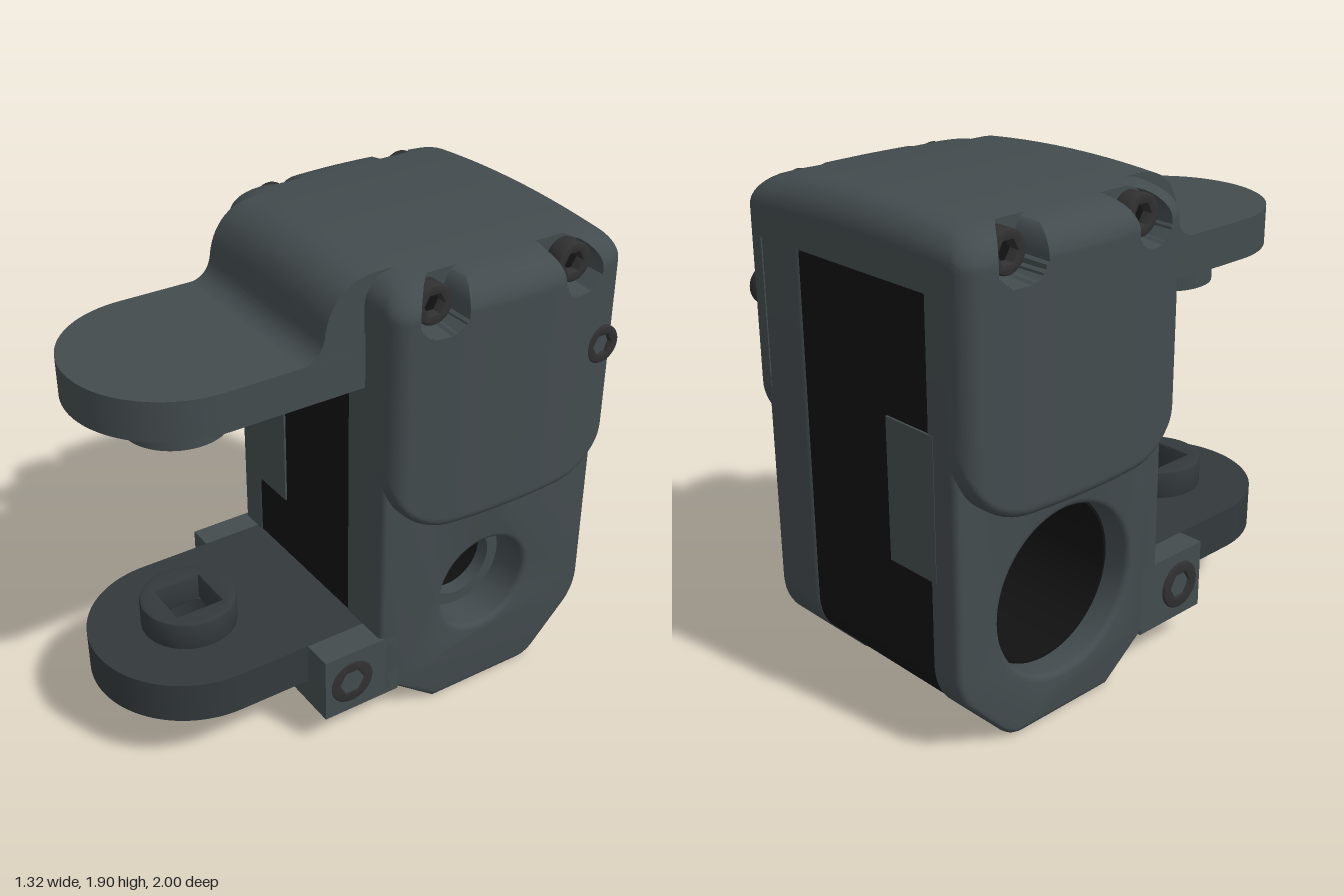
import * as THREE from 'three';
import { toCreasedNormals } from 'three/addons/utils/BufferGeometryUtils.js';

const slate = new THREE.MeshStandardMaterial({ color: 0x434b4e });
const dark = new THREE.MeshStandardMaterial({ color: 0x33393c });
const black = new THREE.MeshStandardMaterial({ color: 0x121212 });
const steel = new THREE.MeshStandardMaterial({ color: 0x303030 });

const C = -0.067;              // middle of the body across its width
const VC = -0.41;              // middle of the body front to back
const ARM = [-0.075, 0.628];   // centre of the rounded arm ends
const ARM_R = 0.395;
const BORE = [-0.4, 0.485];    // cross bore, as depth and height
const TOP = 1.905;

// Drop of a quarter round of radius r at distance d from its edge
const round = (d, r) => (d >= r ? 0 : r - Math.sqrt(Math.max(0, r * r - (r - d) ** 2)));
const crown = (u) => 0.045 * ((u - C) / 0.62) ** 2;

function circle(x, y, r) {
  return new THREE.Path().absarc(x, y, r, 0, Math.PI * 2, true);
}

// Extrude a (depth, height) outline across the width
function across(shape, u0, u1, bevel = 0, steps = 1) {
  const g = new THREE.ExtrudeGeometry(shape, {
    depth: u1 - u0 - 2 * bevel, steps, curveSegments: 32, bevelEnabled: bevel > 0,
    bevelSize: bevel, bevelThickness: bevel, bevelOffset: -bevel, bevelSegments: 4,
  });
  return g.rotateY(-Math.PI / 2).translate(u1 - bevel, 0, 0);
}

// Extrude a plan outline (width, depth) upward
function upward(shape, y0, y1, bevel = 0) {
  const g = new THREE.ExtrudeGeometry(shape, {
    depth: y1 - y0 - 2 * bevel, curveSegments: 32, bevelEnabled: bevel > 0,
    bevelSize: bevel, bevelThickness: bevel, bevelOffset: -bevel, bevelSegments: 2,
  });
  return g.rotateX(Math.PI / 2).translate(0, y1 - bevel, 0);
}

// Side outline of the body, chamfered below, with an optional bore
function bodyOutline(inset, boreRadius) {
  const f = 0.085 - inset, b = -0.905 + inset, y = inset;
  const s = new THREE.Shape();
  s.moveTo(f, 1.72);
  s.lineTo(b, 1.72);
  s.lineTo(b, 0.35);
  s.quadraticCurveTo(b, 0.26, b + 0.05, 0.2);
  s.lineTo(-0.7, 0.04 + y);
  s.quadraticCurveTo(-0.66, y, -0.61, y);
  s.lineTo(-0.18, y);
  s.lineTo(0, 0.135 + y);
  s.lineTo(f, 0.135 + y);
  s.closePath();
  s.holes.push(circle(...BORE, boreRadius));
  return s;
}

// Plan outline of an arm with a round end
function armOutline(back) {
  const [u, v] = ARM;
  const s = new THREE.Shape();
  s.moveTo(u - ARM_R, back);
  s.lineTo(u + ARM_R, back);
  s.absarc(u, v, ARM_R, 0, Math.PI, false);
  s.closePath();
  return s;
}

const POCKETS = [-0.09, -0.7];
const POCKET_Y = 1.79;

// Half width of the bulging cover, with screw pockets and rounded edges
function coverWidth(v, y) {
  const t = (v - VC) / 0.5;
  let w = 0.57 + 0.055 * (1 - t * t) - round(0.5 - Math.abs(v - VC), 0.06) - round(TOP - y, 0.12);
  for (const p of POCKETS) {
    const dy = Math.min(0, y - POCKET_Y);
    if (Math.hypot(v - p, dy) < 0.088) w = Math.min(w, 0.47);
  }
  return w;
}

function moveVertices(g, rule) {
  const p = g.attributes.position, q = new THREE.Vector3();
  for (let i = 0; i < p.count; i++) {
    q.fromBufferAttribute(p, i);
    rule(q);
    p.setXYZ(i, q.x, q.y, q.z);
  }
  return g;
}

// Crowned cap of the cover
function coverTop() {
  return moveVertices(new THREE.BoxGeometry(2, 1, 2, 20, 24, 120), (q) => {
    const y = 1.67 + (q.y + 0.5) * (TOP - 1.67);
    const v = VC + 0.5 * Math.sin(q.z * Math.PI / 2);
    const w = coverWidth(v, y);
    const depth = 1 - round(TOP - y, 0.12) / 0.5;
    const u = C + q.x * w;
    q.set(u, y - crown(u) * (q.y + 0.5), VC + (v - VC) * depth);
  });
}

// Hanging side of the cover with round lower corners
function coverSide(side) {
  return moveVertices(new THREE.BoxGeometry(1, 1, 2, 2, 40, 60), (q) => {
    const v = VC + 0.5 * Math.sin(q.z * Math.PI / 2);
    const low = 0.905 + round(0.5 - Math.abs(v - VC), 0.25);
    const s = (q.y + 0.5) ** 1.6;
    const y = low + s * (1.67 - low);
    const w = coverWidth(v, y) - round(y - low, 0.04);
    const a = side > 0 ? q.x + 0.5 : 0.5 - q.x;
    q.set(C + side * (0.48 + a * (w - 0.48)), y, v);
  });
}

// Socket head screw whose face points sideways
function screw(side, w, y, v, r, length) {
  const g = new THREE.Group();
  g.name = 'screw';
  const ring = new THREE.Shape().absarc(0, 0, r, 0, Math.PI * 2, false);
  const hex = new THREE.Path();
  for (let i = 0; i < 6; i++) {
    const a = -i * Math.PI / 3;
    hex[i ? 'lineTo' : 'moveTo'](r * 0.55 * Math.cos(a), r * 0.55 * Math.sin(a));
  }
  hex.closePath();
  ring.holes.push(hex);
  const head = new THREE.Mesh(toCreasedNormals(across(ring, -length, 0, 0.008), 0.6), steel);
  head.name = 'screwHead';
  const floor = new THREE.Mesh(new THREE.CylinderGeometry(r * 0.6, r * 0.6, 0.01, 24).rotateZ(Math.PI / 2), black);
  floor.name = 'screwSocket';
  floor.position.x = -Math.min(0.045, length * 0.7);
  g.add(head, floor);
  if (side < 0) g.rotation.y = Math.PI;
  g.position.set(C + side * w, y, v);
  return g;
}

export function createModel() {
  const model = new THREE.Group();
  model.name = 'bracketHousing';
  model.rotation.y = -10 * Math.PI / 180;
  const add = (name, geometry, material = slate) => {
    const m = new THREE.Mesh(toCreasedNormals(geometry, 0.6), material);
    m.name = name;
    model.add(m);
  };
  const box = (name, u0, u1, y0, y1, v0, v1, material) =>
    add(name, new THREE.BoxGeometry(u1 - u0, y1 - y0, v1 - v0)
      .translate((u0 + u1) / 2, (y0 + y1) / 2, (v0 + v1) / 2), material);

  // Body: two side slabs around a dark core, all bored through
  add('leftSlab', across(bodyOutline(0, 0.2), 0.2, 0.445, 0.025));
  add('rightSlab', across(bodyOutline(0, 0.32), -0.573, -0.43, 0.025));
  add('core', across(bodyOutline(0.006, 0.31), -0.46, 0.23), black);
  const collar = new THREE.Shape().absarc(...BORE, 0.25, 0, Math.PI * 2, false);
  collar.holes.push(circle(...BORE, 0.15));
  add('boreCollar', across(collar, 0.22, 0.28));
  for (const [v0, v1] of [[0.03, 0.087], [-0.907, -0.85]]) box('coreTab', -0.47, -0.235, 0.67, 1.2, v0, v1);

  // Cover
  add('coverTop', coverTop());
  for (const side of [-1, 1]) {
    add('coverSide', coverSide(side));
    for (const v of POCKETS) model.add(screw(side, 0.54, POCKET_Y, v, 0.075, 0.1));
    model.add(screw(side, 0.515, 0.27, 0.215, 0.095, 0.06));
  }
  model.add(screw(1, 0.6, 1.455, -0.82, 0.075, 0.1));

  // Upper arm, its neck and its D-shaped boss
  add('upperArm', upward(armOutline(0), 1.457, 1.61));
  const neck = new THREE.Shape();
  neck.moveTo(-0.1, 1.46);
  neck.lineTo(0.34, 1.46);
  neck.lineTo(0.34, 1.609);
  neck.quadraticCurveTo(0.265, 1.615, 0.25, 1.7);
  neck.bezierCurveTo(0.235, 1.83, 0.17, TOP, 0.03, TOP);
  neck.lineTo(-0.1, TOP);
  neck.closePath();
  add('upperNeck', moveVertices(across(neck, -0.469, 0.319, 0, 10), (q) => {
    if (q.y > 1.62) q.y -= crown(q.x) * Math.min(1, (q.y - 1.62) / 0.2);
  }));
  const boss = new THREE.Shape();
  boss.absarc(...ARM, 0.198, -0.75, Math.PI + 0.75, false);
  boss.closePath();
  add('upperBoss', upward(boss, 1.3, 1.46));

  // Lower arm held between the clamp blocks
  const lower = armOutline(0.08);
  lower.holes.push(circle(...ARM, 0.125));
  add('lowerArm', upward(lower, 0.24, 0.41), dark);
  const socket = new THREE.Shape().absarc(...ARM, 0.187, 0, Math.PI * 2, false);
  const [u, v] = ARM, h = 0.095;
  socket.holes.push(new THREE.Path().setFromPoints([[-h, -h], [-h, h], [h, h], [h, -h]]
    .map(([a, b]) => new THREE.Vector2(u + a, v + b))));
  add('lowerBoss', upward(socket, 0.4, 0.525, 0.012), dark);
  box('clampFloor', -0.573, 0.445, 0.135, 0.239, 0, 0.335);
  box('clampBlock', -0.573, -0.471, 0.2, 0.41, 0, 0.335);
  box('clampBlock', 0.321, 0.445, 0.2, 0.41, 0, 0.335);

  return model;
}
